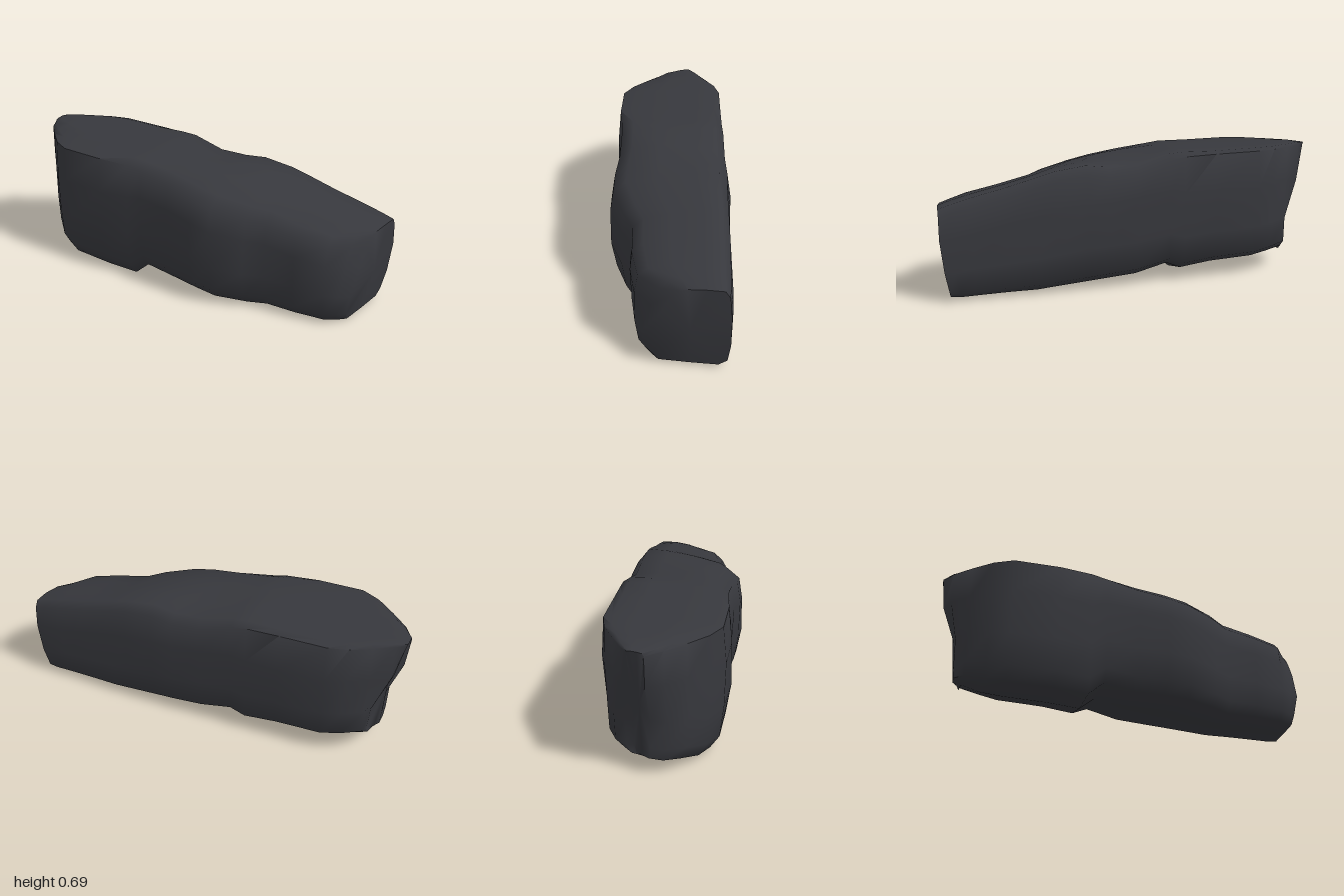
import * as THREE from 'three';
import { mergeVertices, toCreasedNormals } from 'three/addons/utils/BufferGeometryUtils.js';

const { smoothstep, lerp } = THREE.MathUtils;

// Stations along the rock: x, back z, front z, bottom y, top y, drop of the front top edge
const STATIONS = [
  [-1.0, -0.09, 0.0, 0.09, 0.685, 0.01],
  [-0.95, -0.13, 0.08, 0.085, 0.69, 0.01],
  [-0.86, -0.19, 0.17, 0.075, 0.69, 0.01],
  [-0.76, -0.25, 0.26, 0.035, 0.69, 0.01],
  [-0.66, -0.28, 0.312, 0.02, 0.69, 0.01],
  [-0.42, -0.29, 0.314, 0.01, 0.685, 0.01],
  [-0.25, -0.295, 0.293, 0.0, 0.69, 0.01],
  [-0.17, -0.30, 0.287, 0.07, 0.69, 0.02],
  [0.0, -0.305, 0.282, 0.045, 0.69, 0.04],
  [0.15, -0.317, 0.297, 0.035, 0.68, 0.06],
  [0.27, -0.317, 0.298, 0.025, 0.665, 0.075],
  [0.43, -0.317, 0.232, 0.015, 0.64, 0.085],
  [0.52, -0.317, 0.178, 0.01, 0.615, 0.085],
  [0.68, -0.318, 0.17, 0.01, 0.57, 0.075],
  [0.84, -0.318, 0.142, 0.008, 0.53, 0.06],
  [0.94, -0.318, 0.105, 0.008, 0.50, 0.04],
  [1.0, -0.315, 0.07, 0.015, 0.48, 0.03],
];

// Rounded block cross-section: u runs back to front, v runs bottom to top
const SECTION = [
  [0.88, 0], [0.5, 0], [0.15, 0.005], [0.04, 0.07], [0.01, 0.3], [0, 0.65], [0.03, 0.9], [0.1, 0.98],
  [0.3, 1], [0.6, 1], [0.86, 0.98], [0.97, 0.9], [1, 0.7], [1, 0.35], [0.96, 0.1],
];

function stationPoint([x, zb, zf, yb, yt, drop], [u, v]) {
  // The pointed end is blunt low down and overhangs towards the top
  const limit = lerp(-0.91, -1, smoothstep(v, 0.3, 0.85)) + 0.05 * (1 - u) * (1 - v);
  // The broad end is cut at a slant, with its front corner rounded off at the top
  const end = smoothstep(x, 0.8, 1);
  const slant = end * (0.045 * Math.max(0, u - 0.2) + 0.09 * Math.max(0, 0.5 - v));
  const corner = end * 0.1 * smoothstep(u, 0.4, 1) * smoothstep(v, 0.3, 1);
  // Top shoulders are squarer towards the pointed end
  const square = 0.75 * smoothstep(-x, -0.1, 0.4);
  const h = v > 0.85 ? lerp(v, 1, square) : v;
  // The underside rises at the back, next to the notch
  const rise = 0.065 * smoothstep(-x, 0.1, 0.3) * (1 - smoothstep(-x, 0.78, 0.95)) * smoothstep(0.6 - u, 0, 0.45);
  // A chip is missing from the back top edge near the middle
  const chip = 0.055 * Math.exp(-(((x - 0.06) / 0.13) ** 2)) * smoothstep(0.5 - u, 0, 0.3) * smoothstep(v, 0.6, 0.95);
  // Shallow dents worn into both broad faces
  const dent = 0.008 * Math.sin(Math.PI * v) * (1 + Math.sin(x * 9 + v * 5));
  const z = lerp(zb, zf, u) + (u < 0.05 ? dent : u > 0.95 ? -dent * 0.6 : 0) - corner;
  return [Math.max(x, limit) - slant, lerp(yb, yt, h) - drop * u * h + rise * (1 - h) - chip, z];
}

function rockGeometry() {
  const n = SECTION.length, m = STATIONS.length;
  const positions = [], index = [];
  for (const s of STATIONS) for (const p of SECTION) positions.push(...stationPoint(s, p));
  for (let i = 0; i < m - 1; i++) {
    for (let j = 0; j < n; j++) {
      const k = (j + 1) % n;
      const a = i * n + j, b = i * n + k, c = a + n, d = b + n;
      index.push(a, b, c, b, d, c);
    }
  }
  // End faces
  for (const i of [0, m - 1]) {
    const centre = positions.length / 3;
    positions.push(...stationPoint(STATIONS[i], [0.5, 0.5]));
    for (let j = 0; j < n; j++) {
      const a = i * n + j, b = i * n + (j + 1) % n;
      if (i === 0) index.push(centre, b, a);
      else index.push(centre, a, b);
    }
  }
  const geometry = new THREE.BufferGeometry();
  geometry.setAttribute('position', new THREE.Float32BufferAttribute(positions, 3));
  geometry.setIndex(index);
  return toCreasedNormals(mergeVertices(geometry), 1.2);
}

export function createModel() {
  const group = new THREE.Group();
  group.name = 'rock';
  const stone = new THREE.MeshStandardMaterial({ color: 0x37383d });
  stone.name = 'dark stone';
  const body = new THREE.Mesh(rockGeometry(), stone);
  body.name = 'rockBody';
  group.add(body);
  return group;
}
